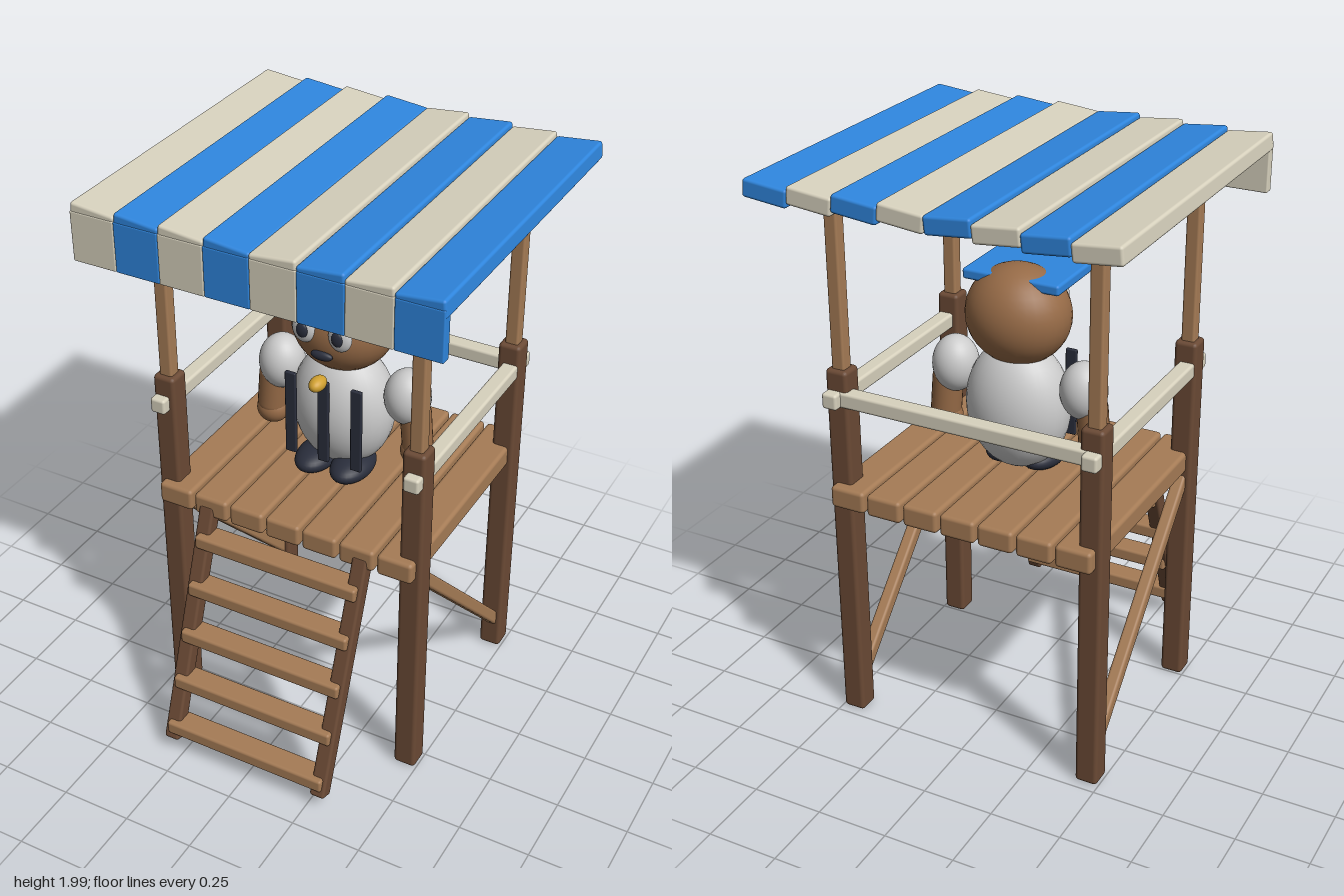
import * as THREE from 'three';
import { RoundedBoxGeometry } from 'three/addons/geometries/RoundedBoxGeometry.js';

const mat = (color) => new THREE.MeshStandardMaterial({ color });
const M = {
  post: mat(0x6b4a35), wood: mat(0xa67c56), cream: mat(0xd8d2be), blue: mat(0x2f86de),
  skin: mat(0x976b47), white: mat(0xe8e8e6), dark: mat(0x2a2e3c), gold: mat(0xd0a030),
};

const FRONT_Z = 0.29, BACK_Z = -0.43, POST_X = 0.455;

export function createModel() {
  const model = new THREE.Group();

  const add = (parent, name, geometry, material, pos) => {
    const mesh = new THREE.Mesh(geometry, material);
    mesh.name = name;
    mesh.position.set(...pos);
    parent.add(mesh);
    return mesh;
  };
  // Board with softened edges
  const board = (parent, name, size, pos, material, radius = 0.01) =>
    add(parent, name, new RoundedBoxGeometry(...size, 2, radius), material, pos);
  // Ellipsoid
  const ball = (parent, name, radii, pos, material) => {
    const mesh = add(parent, name, new THREE.SphereGeometry(1, 32, 20), material, pos);
    mesh.scale.set(...radii);
    return mesh;
  };
  // Sloping beam between two (y, z) points at a given x
  const beam = (parent, name, x, [y0, z0], [y1, z1], width, depth, material) => {
    const length = Math.hypot(y1 - y0, z1 - z0);
    const mesh = board(parent, name, [width, length, depth], [x, (y0 + y1) / 2, (z0 + z1) / 2], material);
    mesh.rotation.x = Math.atan2(z1 - z0, y1 - y0);
    return mesh;
  };
  const group = (name) => {
    const g = new THREE.Group();
    g.name = name;
    model.add(g);
    return g;
  };

  // Tower frame: posts, canopy poles, braces and handrails
  const frame = group('frame');
  for (const s of [-1, 1]) {
    for (const z of [FRONT_Z, BACK_Z]) {
      board(frame, 'post', [0.08, 1.32, 0.08], [s * POST_X, 0.665, z], M.post, 0.014);
      board(frame, 'canopyPole', [0.047, 0.66, 0.047], [s * POST_X, 1.61, z], M.wood, 0.008);
    }
    beam(frame, 'brace', s * POST_X, [0.835, 0.29], [0.1, -0.43], 0.045, 0.046, M.wood);
    board(frame, 'sideRail', [0.055, 0.055, 0.868], [s * 0.462, 1.227, -0.072], M.cream);
  }
  board(frame, 'backRail', [0.97, 0.055, 0.055], [0, 1.227, -0.45], M.cream);

  // Deck planks
  const deck = group('deck');
  for (let i = -3; i <= 3; i++) {
    board(deck, 'plank', [0.127, 0.078, 0.868], [i * 0.1376, 0.878, -0.072], M.wood, 0.014);
  }

  // Ladder
  const ladder = group('ladder');
  for (const s of [-1, 1]) {
    beam(ladder, 'ladderRail', s * 0.29, [0.055, 0.635], [0.875, 0.335], 0.055, 0.055, M.post);
  }
  for (let i = 0; i < 5; i++) {
    board(ladder, 'rung', [0.61, 0.05, 0.085], [0, 0.11 + i * 0.164, 0.615 - i * 0.0585], M.wood);
  }

  // Striped canopy: slats lean toward the centre line, with a hanging front flap
  const canopy = group('canopy');
  for (let i = 0; i < 8; i++) {
    const x = (i - 3.5) * 0.156;
    const material = i % 2 ? M.blue : M.cream;
    const slat = board(canopy, 'canopySlat', [0.158, 0.06, 1.168], [x, 1.962, -0.072], material);
    slat.rotation.z = Math.sign(x) * 0.1;
    board(canopy, 'canopyFlap', [0.156, 0.17, 0.036], [x, 1.885, 0.496], material, 0.005);
  }

  // Lookout figure
  const figure = group('figure');
  ball(figure, 'body', [0.183, 0.228, 0.147], [0, 1.145, -0.073], M.white);
  ball(figure, 'head', [0.18, 0.169, 0.16], [0, 1.466, -0.071], M.skin);
  board(figure, 'visor', [0.348, 0.037, 0.278], [0, 1.593, 0.006], M.blue, 0.01);
  ball(figure, 'mouth', [0.04, 0.017, 0.015], [0, 1.41, 0.083], M.dark);
  ball(figure, 'whistle', [0.027, 0.025, 0.04], [0, 1.318, 0.11], M.gold);
  for (const x of [-0.123, 0, 0.123]) {
    board(figure, 'shirtStripe', [0.04, 0.315, 0.015], [x, 1.148, 0.073], M.dark, 0.004);
  }
  for (const s of [-1, 1]) {
    ball(figure, 'eye', [0.042, 0.052, 0.022], [s * 0.066, 1.495, 0.08], M.white);
    ball(figure, 'pupil', [0.021, 0.027, 0.01], [s * 0.064, 1.495, 0.098], M.dark);
    ball(figure, 'sleeve', [0.08, 0.1, 0.08], [s * 0.238, 1.24, -0.071], M.white);
    const arm = add(figure, 'forearm', new THREE.CapsuleGeometry(0.053, 0.12, 8, 24), M.skin, [s * 0.274, 1.125, -0.071]);
    arm.rotation.z = s * 0.08;
    ball(figure, 'hand', [0.058, 0.054, 0.054], [s * 0.278, 1.037, -0.071], M.skin);
    ball(figure, 'shoe', [0.07, 0.043, 0.11], [s * 0.068, 0.945, -0.012], M.dark);
  }

  return model;
}
